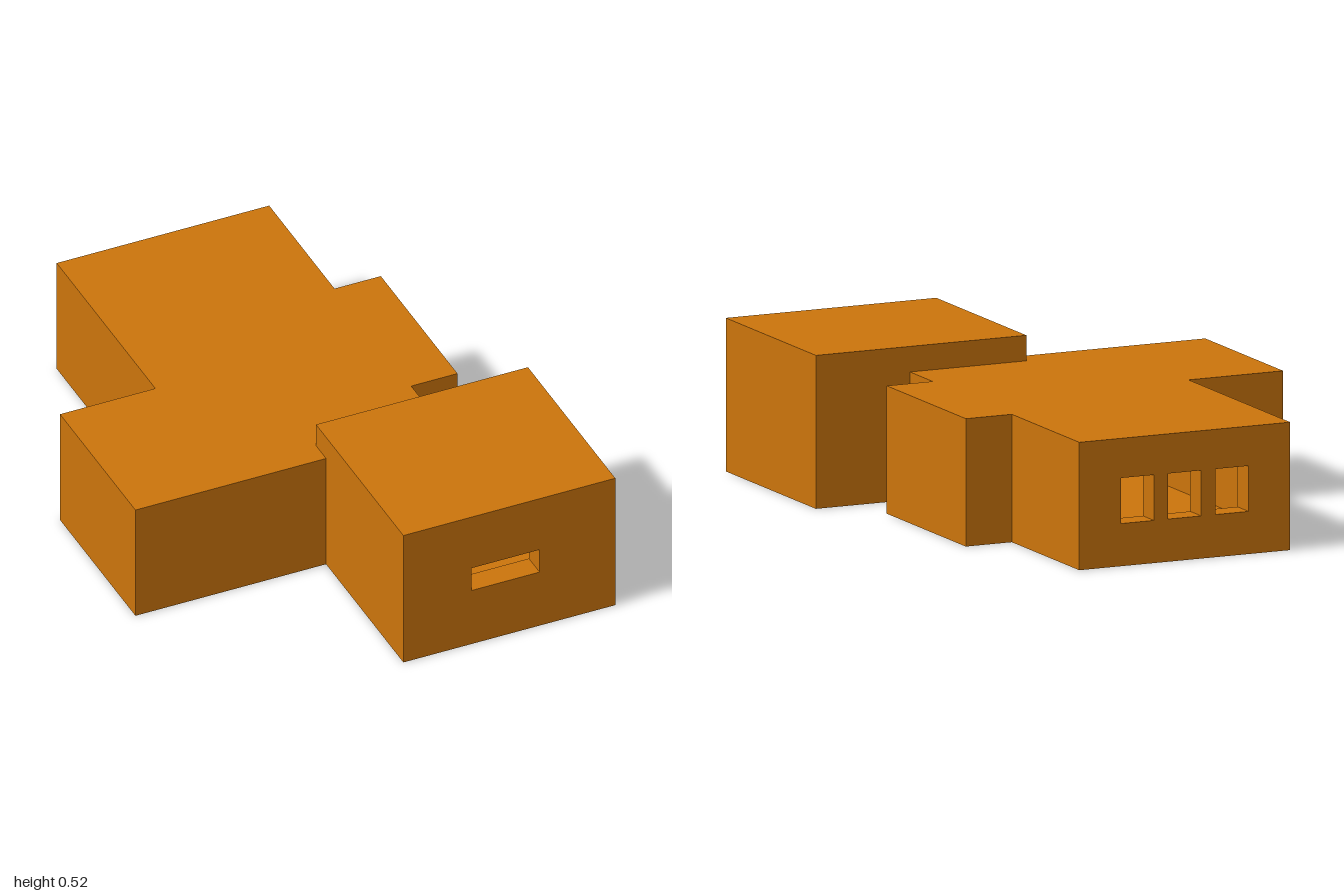
import * as THREE from 'three';

const T = 0.085; // thickness of walls, floors and roofs

export function createModel() {
  const house = new THREE.Group();
  house.name = 'house';
  const orange = new THREE.MeshStandardMaterial({ color: 0xcc750c });
  orange.name = 'orange';

  const add = (parent, name, geometry) => {
    const mesh = new THREE.Mesh(geometry, orange);
    mesh.name = name;
    parent.add(mesh);
    return mesh;
  };

  // Raises a plan outline, given as [x, z] corners, from y0 to y1
  const raise = (parent, name, plan, y0, y1) => {
    const shape = new THREE.Shape(plan.map(([x, z]) => new THREE.Vector2(x, -z)));
    const geometry = new THREE.ExtrudeGeometry(shape, { depth: y1 - y0, bevelEnabled: false });
    geometry.rotateX(-Math.PI / 2).translate(0, y0, 0);
    return add(parent, name, geometry);
  };

  const rect = (x0, y0, x1, y1) => [[x0, y0], [x1, y0], [x1, y1], [x0, y1]];

  // Upright wall facing along z, with rectangular openings [x0, y0, x1, y1]
  const wall = (parent, name, x0, x1, y0, y1, z0, openings) => {
    const points = (r) => rect(...r).map(([x, y]) => new THREE.Vector2(x, y));
    const shape = new THREE.Shape(points([x0, y0, x1, y1]));
    openings.forEach((o) => shape.holes.push(new THREE.Path(points(o).reverse())));
    const geometry = new THREE.ExtrudeGeometry(shape, { depth: T, bevelEnabled: false });
    geometry.translate(0, 0, z0);
    return add(parent, name, geometry);
  };

  // Main building with its two side wings
  const main = new THREE.Group();
  main.name = 'mainBuilding';
  house.add(main);
  const H = 0.435;
  const footprint = [
    [-0.39, -1], [-0.39, -0.215], [-0.74, -0.215], [-0.74, 0.385], [-0.04, 0.385], [-0.04, 0.305],
    [0.39, 0.305], [0.39, 0.13], [0.56, 0.13], [0.56, -0.48], [0.39, -0.48], [0.39, -1],
  ];
  raise(main, 'mainFloor', footprint, 0, T);
  raise(main, 'mainRoof', footprint, H - T, H);
  raise(main, 'rightWingWalls', [
    [-0.39, -1 + T], [-0.39, -0.215], [-0.74, -0.215], [-0.74, 0.385], [-0.04, 0.385], [-0.04, 0.3],
    [-0.655, 0.3], [-0.655, -0.13], [-0.305, -0.13], [-0.305, -1 + T],
  ], T, H - T);
  raise(main, 'leftWingWalls', [
    [0.39, -1 + T], [0.39, -0.48], [0.56, -0.48], [0.56, 0.13], [0.39, 0.13], [0.39, 0.305],
    [0.305, 0.305], [0.305, 0.045], [0.475, 0.045], [0.475, -0.395], [0.305, -0.395], [0.305, -1 + T],
  ], T, H - T);

  // Back wall with a row of three windows
  const windows = [-0.175, 0, 0.175].map((x) => [x - 0.061, 0.145, x + 0.061, 0.3]);
  wall(main, 'backWall', -0.39, 0.39, T, H - T, -1, windows);

  // Taller front room
  const front = new THREE.Group();
  front.name = 'frontRoom';
  house.add(front);
  const [x0, x1, z0, z1, top] = [-0.04, 0.738, 0.305, 1, 0.522];
  raise(front, 'frontFloor', rect(x0, z0, x1, z1), 0, T);
  raise(front, 'frontRoof', rect(x0, z0, x1, z1), top - T, top);
  for (const [name, x] of [['frontRoomRightWall', x0], ['frontRoomLeftWall', x1 - T]]) {
    raise(front, name, rect(x, z0 + T, x + T, z1 - T), T, top - T);
  }
  wall(front, 'frontWall', x0, x1, T, top - T, z1 - T, [[0.21, 0.22, 0.46, 0.312]]);

  // Shared wall with a doorway into the main building
  wall(front, 'doorwayWall', x0, x1, T, top - T, z0, [[0.085, T + 0.001, 0.215, 0.26]]);

  return house;
}
